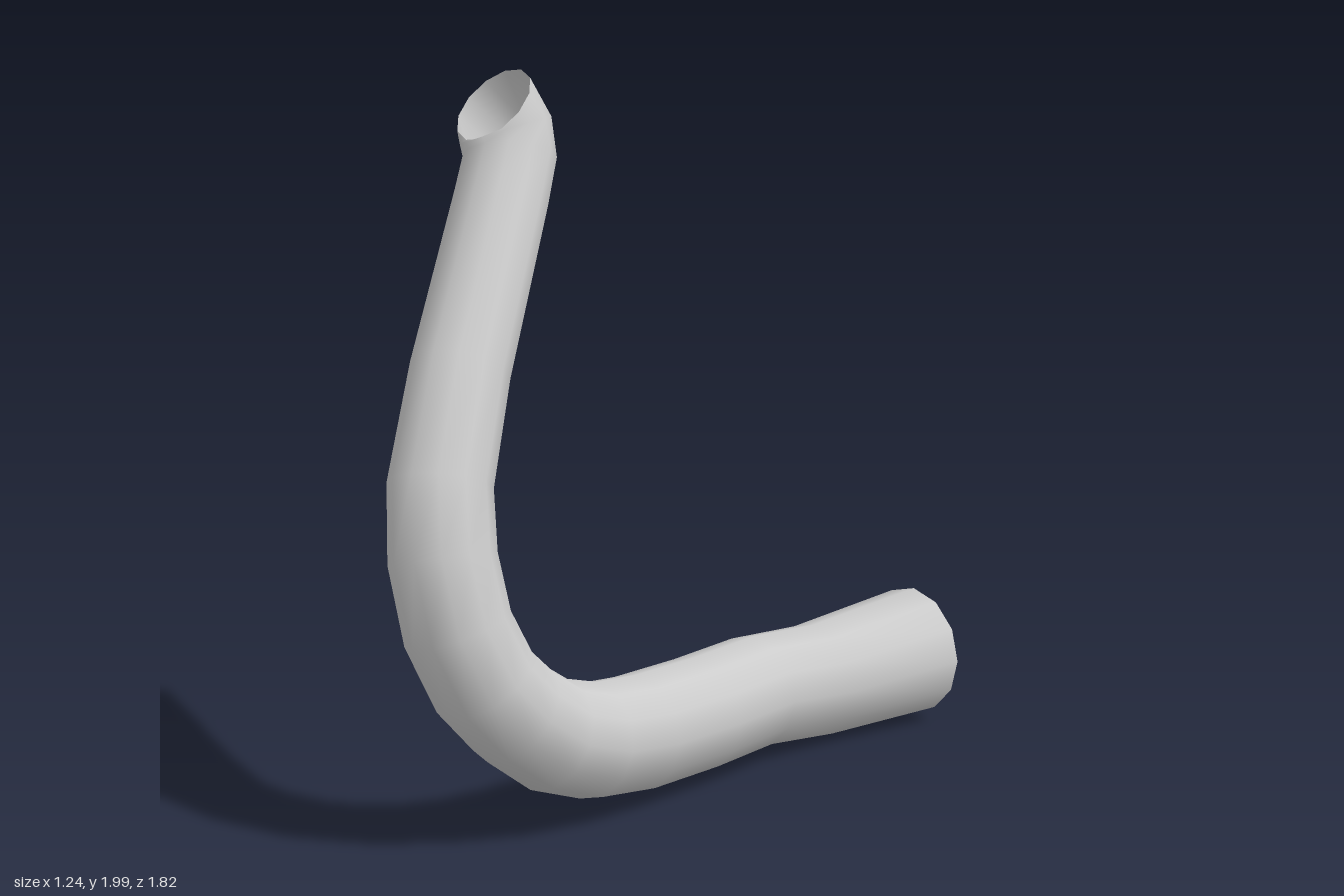
import * as THREE from 'three';

const SIDES = 12;

// Rings along the pipe: centre x, y, z, radius
const RINGS = [
  [0.455, 0.21, -0.815, 0.188],
  [0.23, 0.18, -0.5, 0.168],
  [0.11, 0.2, -0.27, 0.163],
  [0.02, 0.2, -0.02, 0.163],
  [-0.08, 0.205, 0.22, 0.163],
  [-0.15, 0.23, 0.4, 0.16],
  [-0.21, 0.285, 0.545, 0.155],
  [-0.265, 0.37, 0.65, 0.15],
  [-0.32, 0.47, 0.725, 0.147],
  [-0.375, 0.62, 0.767, 0.145],
  [-0.42, 0.8, 0.752, 0.143],
  [-0.447, 0.98, 0.695, 0.139],
  [-0.46, 1.25, 0.515, 0.134],
  [-0.461, 1.67, 0.2, 0.128],
  [-0.465, 1.77, 0.125, 0.128],
  [-0.482, 1.84, 0.11, 0.13],
  [-0.51, 1.91, 0.125, 0.125],
];

// Directions in which the two open ends are cut
const START = new THREE.Vector3(-0.52, 0, 0.85);
const END = new THREE.Vector3(-0.38, 0.68, 0.62);

function pipeGeometry() {
  const last = RINGS.length - 1;
  const centres = RINGS.map(([x, y, z]) => new THREE.Vector3(x, y, z));
  const normal = new THREE.Vector3(0, 1, 0);
  const positions = [];
  const index = [];

  centres.forEach((centre, i) => {
    const tangent = i === 0 ? START.clone() : i === last ? END.clone()
      : centres[i + 1].clone().sub(centre).normalize()
        .add(centre.clone().sub(centres[i - 1]).normalize());
    tangent.normalize();
    // Carry the ring's frame along without twisting
    normal.addScaledVector(tangent, -normal.dot(tangent)).normalize();
    const side = tangent.clone().cross(normal);

    for (let j = 0; j < SIDES; j++) {
      const angle = (j / SIDES) * Math.PI * 2;
      const p = centre.clone()
        .addScaledVector(normal, Math.cos(angle) * RINGS[i][3])
        .addScaledVector(side, Math.sin(angle) * RINGS[i][3]);
      positions.push(p.x, p.y, p.z);
      if (i < last) {
        const a = i * SIDES + j;
        const b = i * SIDES + (j + 1) % SIDES;
        index.push(a, b, b + SIDES, a, b + SIDES, a + SIDES);
      }
    }
  });

  const geometry = new THREE.BufferGeometry();
  geometry.setAttribute('position', new THREE.Float32BufferAttribute(positions, 3));
  geometry.setIndex(index);
  geometry.computeVertexNormals();
  return geometry;
}

export function createModel() {
  const group = new THREE.Group();
  group.name = 'bentPipe';
  // Open, thin-walled pipe
  const pipe = new THREE.Mesh(
    pipeGeometry(),
    new THREE.MeshStandardMaterial({ color: 0xcccccc, side: THREE.DoubleSide }),
  );
  pipe.name = 'pipe';
  group.add(pipe);
  return group;
}
